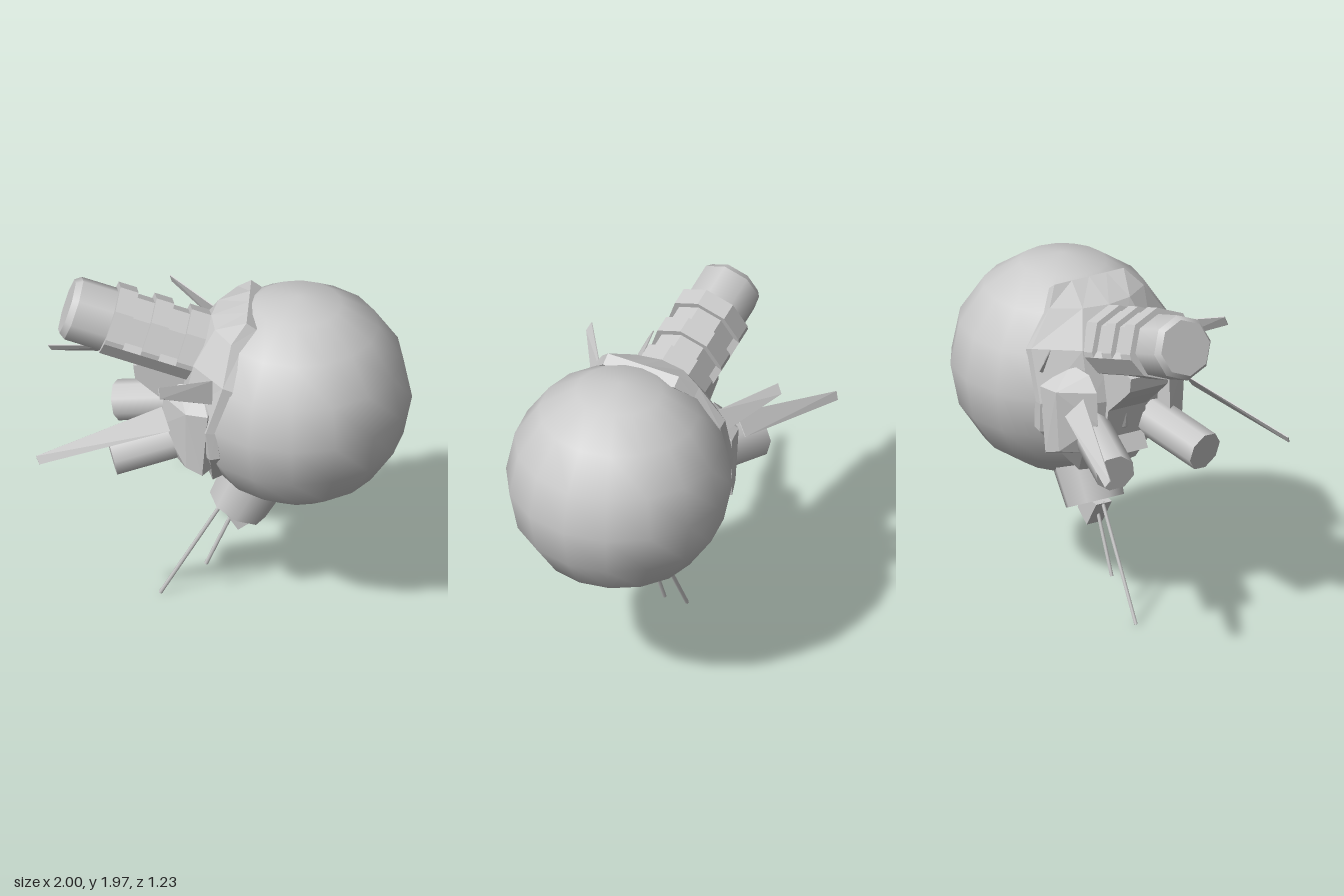
import * as THREE from 'three';
import { ConvexGeometry } from 'three/addons/geometries/ConvexGeometry.js';

const V = (x, y, z) => new THREE.Vector3(x, y, z);
const smooth = new THREE.MeshStandardMaterial({ color: 0xcccccc });
const flat = new THREE.MeshStandardMaterial({ color: 0xcccccc, flatShading: true, side: THREE.DoubleSide });

function mesh(name, geometry, material = flat) {
  const m = new THREE.Mesh(geometry, material);
  m.name = name;
  return m;
}

// Cylinder or cone section running from a to b
function rod(name, a, b, ra, rb, sides = 8) {
  const dir = b.clone().sub(a);
  const m = mesh(name, new THREE.CylinderGeometry(rb, ra, dir.length(), sides), smooth);
  m.position.copy(a).add(b).multiplyScalar(0.5);
  m.quaternion.setFromUnitVectors(V(0, 1, 0), dir.normalize());
  return m;
}

// Closed solid through a list of equal-length loops
function loft(loops) {
  const n = loops[0].length, index = [];
  for (let i = 0; i < loops.length - 1; i++)
    for (let j = 0; j < n; j++) {
      const a = i * n + j, b = i * n + (j + 1) % n;
      index.push(a, a + n, b, b, a + n, b + n);
    }
  const last = (loops.length - 1) * n;
  for (let j = 1; j < n - 1; j++) index.push(0, j, j + 1, last, last + j + 1, last + j);
  const g = new THREE.BufferGeometry().setFromPoints(loops.flat());
  g.setIndex(index);
  g.computeVertexNormals();
  return g;
}

function prism(points, depth) {
  const shape = new THREE.Shape(points.map(([x, y]) => new THREE.Vector2(x, y)));
  return new THREE.ExtrudeGeometry(shape, { depth, bevelEnabled: false });
}

// Thin four-cornered blade
function blade(name, corners) {
  const n = corners[1].clone().sub(corners[0]).cross(corners[3].clone().sub(corners[0])).setLength(0.006);
  return mesh(name, new ConvexGeometry([...corners, ...corners.map(c => c.clone().add(n))]));
}

const C = V(0.385, 1.305, 0), R = 0.615;
const sphereX = (y, z) => C.x - Math.sqrt(Math.max(0, R * R - (y - C.y) ** 2 - z * z));

// Domed face plate that hugs the sphere
function facePlate() {
  const rows = [[1.835, 0.22], [1.75, 0.3], [1.57, 0.44], [1.3, 0.44], [1.14, 0.43], [0.88, 0.18]];
  const loops = rows.map(([y, w], i) => {
    const lift = 0.075 * (y - C.y);
    const at = z => (i === 0 ? 0.163 : sphereX(y, z));
    const loop = [-1, -0.5, 0, 0.5, 1].map(k => V(at(k * w) - 0.045, y + lift, k * w));
    loop.push(V(at(w) + 0.01, y, w), V(at(w) + 0.01, y, -w));
    return loop;
  });
  return mesh('facePlate', loft(loops));
}

// Tilted eye barrel with a ribbed sleeve, built along local z
function eye() {
  const g = new THREE.Group();
  g.name = 'eye';
  const u = V(0.31, 0.95, 0).normalize(), e = V(u.y, -u.x, 0);
  g.quaternion.setFromRotationMatrix(new THREE.Matrix4().makeBasis(V(0, 0, -1), u, e));
  g.position.set(-0.865, 1.81, 0);
  g.add(rod('eyeLens', V(0, 0, 0), V(0, 0, 0.035), 0.155, 0.18));
  g.add(rod('eyeBarrel', V(0, 0, 0.035), V(0, 0, 1), 0.18, 0.18));

  // upper half of each sleeve section is full size on ribs, sunken in the notches
  const lower = [[-0.213, -0.03], [-0.15, -0.13], [0, -0.185], [0.15, -0.13], [0.213, -0.03]];
  const section = (r, z0, z1, name) => {
    const upper = [0, 45, 90, 135, 180].map(d => {
      const t = d * Math.PI / 180;
      return [r * Math.cos(t), r * Math.sin(t)];
    });
    const m = mesh(name, prism([...lower, ...upper], z1 - z0));
    m.position.z = z0;
    g.add(m);
  };
  const cuts = [0.235, 0.338, 0.44, 0.54, 0.64, 0.75];
  for (let i = 0; i < cuts.length - 1; i++)
    section(i % 2 ? 0.183 : 0.215, cuts[i], cuts[i + 1], i % 2 ? 'sleeveNotch' : 'sleeveRib');
  return g;
}

// Cheek block, side cylinder and two blades on one side
function sideParts(s) {
  const g = new THREE.Group();
  g.name = s > 0 ? 'frontSideParts' : 'backSideParts';
  const P = (x, y, z) => V(x, y, z * s);
  g.add(mesh('cheek', new ConvexGeometry([
    P(-0.2, 1.4, 0.41), P(-0.08, 1.4, 0.435), P(-0.11, 1.02, 0.42), P(-0.2, 1.05, 0.39),
    P(-0.33, 1.4, 0.23), P(-0.25, 1.48, 0.23), P(-0.13, 1.51, 0.27), P(-0.06, 1.42, 0.36),
    P(-0.34, 1.22, 0.23), P(-0.27, 1.03, 0.23), P(0, 1.48, 0.2), P(0, 1.0, 0.2),
  ])));
  g.add(rod('sideCylinder', P(-0.605, 1.045, 0.285), P(-0.12, 1.155, 0.17), 0.112, 0.112));
  g.add(blade('longBlade', [
    P(-1, 1.205, 0.565), P(-0.98, 1.165, 0.585), P(-0.285, 1.29, 0.405), P(-0.335, 1.39, 0.32)]));
  g.add(blade('browBlade', [
    P(-0.34, 1.67, 0.575), P(-0.33, 1.615, 0.602), P(-0.06, 1.47, 0.41), P(-0.06, 1.59, 0.36)]));
  return g;
}

export function createModel() {
  const model = new THREE.Group();

  const body = mesh('body', new THREE.SphereGeometry(R, 16, 8), smooth);
  body.position.copy(C);
  model.add(body, facePlate(), eye(), sideParts(1), sideParts(-1));

  // Bracket under the eye, running down to a chin wedge
  const bracket = mesh('eyeBracket', prism([
    [-0.5, 1.52], [-0.49, 1.44], [-0.4, 1.36], [-0.27, 1.25], [-0.24, 1.08],
    [-0.29, 0.99], [-0.09, 0.9], [0, 1], [0, 1.6]], 0.24));
  bracket.position.z = -0.12;
  model.add(bracket);

  // Turret below the body, its nose and two antennas
  model.add(rod('turret', V(0.2, 0.87, 0), V(0.057, 0.58, 0), 0.195, 0.167));
  const nose = mesh('turretNose', prism([[-0.035, 0.6], [0.062, 0.45], [0.155, 0.52], [0.1, 0.62]], 0.1));
  nose.position.z = -0.05;
  model.add(nose);
  model.add(rod('longAntenna', V(-0.36, 0.006, 0), V(-0.02, 0.6, 0), 0.011, 0.011, 6));
  model.add(rod('shortAntenna', V(-0.113, 0.2, 0), V(0.03, 0.53, 0), 0.011, 0.011, 6));
  return model;
}
